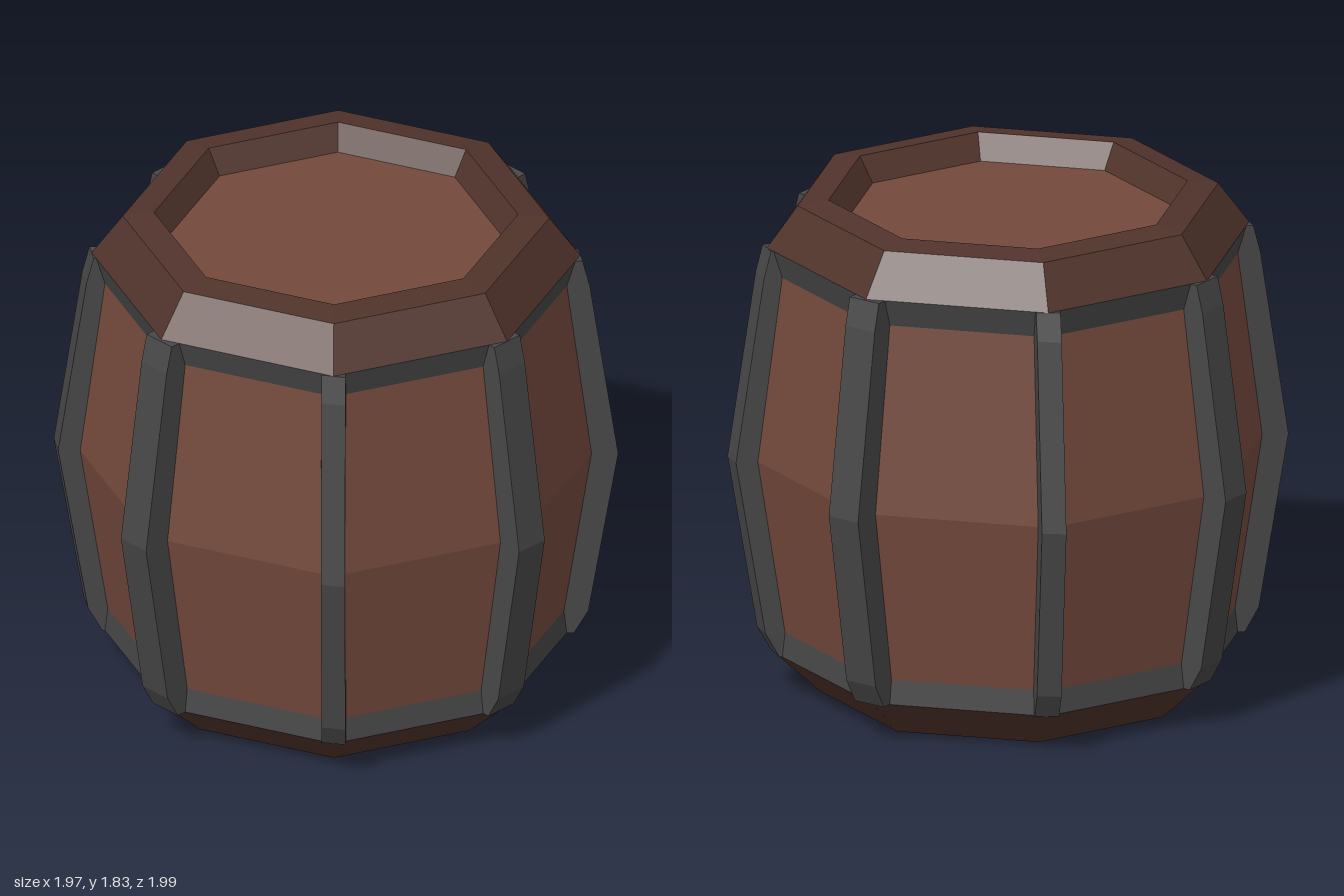
import * as THREE from 'three';

const SIDES = 8, STEP = Math.PI / 4, TAN = Math.tan(Math.PI / 8);
const mat = (color) => new THREE.MeshStandardMaterial({ color, flatShading: true, side: THREE.DoubleSide });

// Collects quads into one flat-shaded mesh
function quadMesh(name, material, quads) {
  const pos = [];
  for (const [a, b, c, d] of quads) pos.push(...a, ...b, ...c, ...a, ...c, ...d);
  const geo = new THREE.BufferGeometry();
  geo.setAttribute('position', new THREE.Float32BufferAttribute(pos, 3));
  geo.computeVertexNormals();
  const mesh = new THREE.Mesh(geo, material);
  mesh.name = name;
  return mesh;
}

// Octagonal lathe with corners on the axes
function octagon(name, material, profile) {
  const pts = profile.map(([r, y]) => new THREE.Vector2(r, y));
  const mesh = new THREE.Mesh(new THREE.LatheGeometry(pts, SIDES), material);
  mesh.name = name;
  return mesh;
}

// Wall levels: height, wall corner radius, radius of the rib's outer face
const LEVELS = [
  { y: 0.15, r: 0.83, tip: 0.83 },
  { y: 0.24, r: 0.82, tip: 0.88 },
  { y: 0.88, r: 0.917, tip: 0.985 },
  { y: 1.56, r: 0.83, tip: 0.885 },
  { y: 1.66, r: 0.86, tip: 0.86 },
];

// Four points of a rib's cross-section at one corner, from one wall to the next
function ribSection(k, { y, r, tip }) {
  const a = k * STEP, diagonal = k % 2 === 1;
  const w = diagonal ? 0.043 : 0.063;
  const skew = a - 0.19 * Math.sin(2 * a); // diagonal ribs are turned slightly towards z
  const scale = k % 4 === 0 ? 1.012 : 1;   // ribs on the z axis stand out a little more
  const at = (radius, offset, turn) => [
    radius * Math.sin(a) + offset * Math.cos(turn), y,
    radius * Math.cos(a) - offset * Math.sin(turn),
  ];
  const base = r - w * TAN;
  return [at(base, -w, a), at(tip * scale, -w, skew), at(tip * scale, w, skew), at(base, w, a)];
}

export function createModel() {
  const group = new THREE.Group();
  group.name = 'barrel';
  const wood = mat(0x74493c), rimWood = mat(0x50332b), iron = mat(0x474747);

  const panels = [], bands = [], ribs = [];
  const sections = LEVELS.map((lv) => Array.from({ length: SIDES }, (_, k) => ribSection(k, lv)));
  for (let k = 0; k < SIDES; k++) {
    const n = (k + 1) % SIDES;
    for (let i = 0; i < LEVELS.length - 1; i++) {
      const lo = sections[i], hi = sections[i + 1];
      // Ribs are hollow channels, open to the inside
      for (let j = 0; j < 3; j++) ribs.push([lo[k][j], lo[k][j + 1], hi[k][j + 1], hi[k][j]]);
      // Wood between the ribs, iron strips at both ends
      const strip = i === 0 || i === LEVELS.length - 2;
      (strip ? bands : panels).push([lo[k][3], lo[n][0], hi[n][0], hi[k][3]]);
    }
    // Rib end caps
    const [b0, b1, b2, b3] = sections[0][k];
    ribs.push([b3, b2, b1, b0]);
    ribs.push(sections[LEVELS.length - 1][k]);
  }
  group.add(quadMesh('staves', wood, panels));
  group.add(quadMesh('ironBands', iron, bands));
  group.add(quadMesh('ironRibs', iron, ribs));

  // Sloped rims, the bottom one left open
  group.add(octagon('bottomRim', rimWood, [[0.67, 0], [0.83, 0.15]]));
  group.add(octagon('topRim', rimWood, [[0.86, 1.66], [0.75, 1.81], [0.64, 1.825], [0.585, 1.735]]));

  // Recessed lid
  group.add(octagon('lid', wood, [[0.585, 1.735], [0, 1.735]]));
  return group;
}
